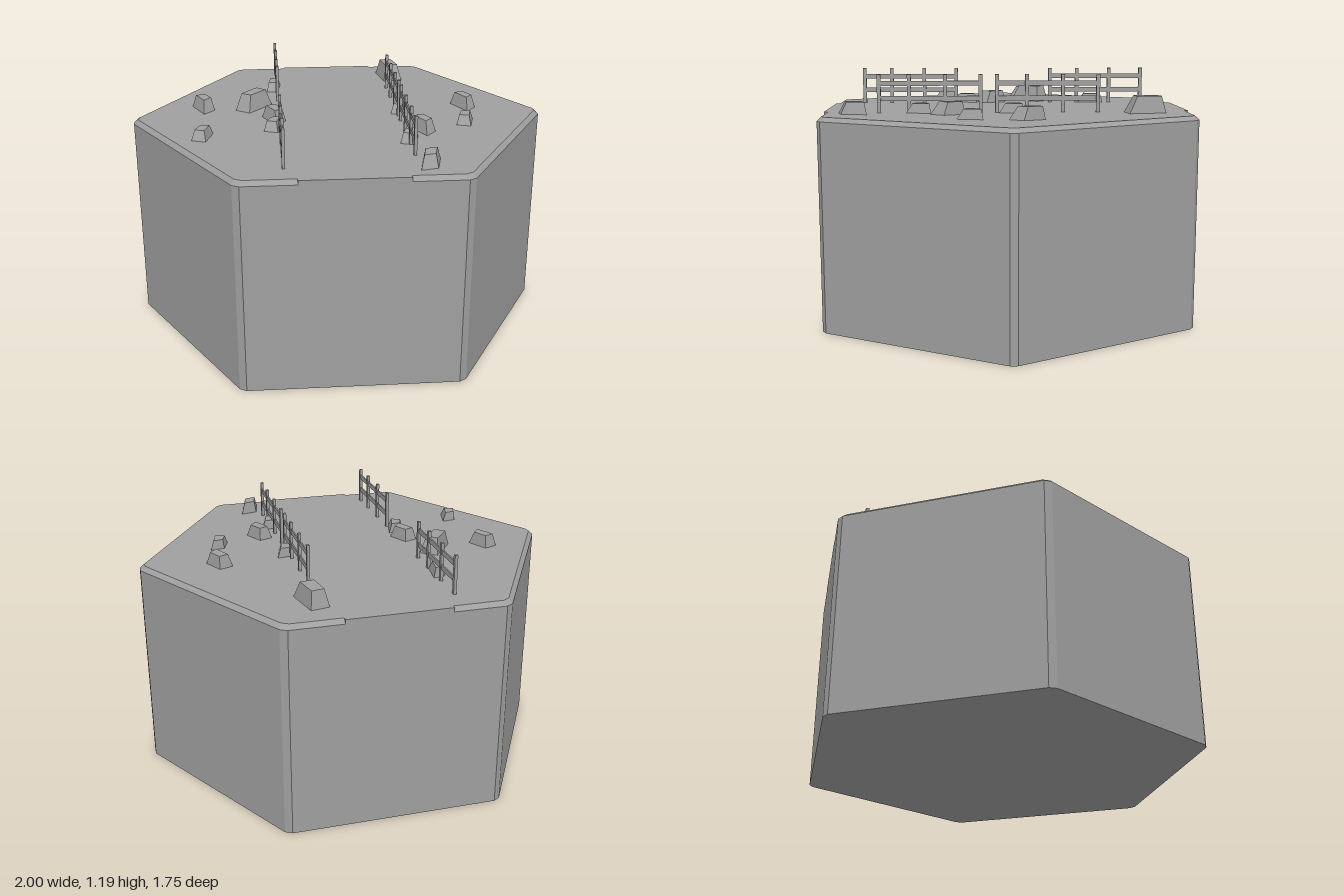
import * as THREE from 'three';

const TOP = 1.01;
const material = new THREE.MeshStandardMaterial({ color: 0x9f9f9f, flatShading: true });

// Closed solid through rings of [x, y, z] points, each clockwise seen from above
function loft(rings, name) {
  const n = rings[0].length;
  const pos = [];
  const tri = (a, b, c) => pos.push(...a, ...b, ...c);
  for (let r = 0; r < rings.length - 1; r++) {
    const lo = rings[r], up = rings[r + 1];
    for (let i = 0; i < n; i++) {
      const j = (i + 1) % n;
      tri(lo[i], up[j], lo[j]);
      tri(lo[i], up[i], up[j]);
    }
  }
  const first = rings[0], last = rings[rings.length - 1];
  for (let i = 1; i < n - 1; i++) {
    tri(first[0], first[i], first[i + 1]);
    tri(last[0], last[i + 1], last[i]);
  }
  const geo = new THREE.BufferGeometry();
  geo.setAttribute('position', new THREE.Float32BufferAttribute(pos, 3));
  geo.computeVertexNormals();
  const mesh = new THREE.Mesh(geo, material);
  mesh.name = name;
  return mesh;
}

function box(w, h, d, x, y, z, name) {
  const mesh = new THREE.Mesh(new THREE.BoxGeometry(w, h, d), material);
  mesh.position.set(x, y, z);
  mesh.name = name;
  return mesh;
}

// Hexagon with its corners cut off
function hexRing(apothem, y) {
  const R = apothem / Math.cos(Math.PI / 6), cut = 0.021, pts = [];
  for (let k = 0; k < 6; k++) {
    const a = k * Math.PI / 3;
    for (const s of [-1, 1]) {
      const edge = a + s * Math.PI * 2 / 3;
      pts.push([R * Math.cos(a) + cut * Math.cos(edge), y, R * Math.sin(a) + cut * Math.sin(edge)]);
    }
  }
  return pts;
}

// Four posts and two rails running along z
function fence(x, z) {
  const g = new THREE.Group();
  g.name = 'fence';
  for (const dz of [0, 0.167, 0.338, 0.48]) {
    g.add(box(0.014, 0.19, 0.018, 0, TOP + 0.085, dz, 'fencePost'));
  }
  for (const h of [0.067, 0.138]) {
    g.add(box(0.007, 0.023, 0.48, 0, TOP + h, 0.24, 'fenceRail'));
  }
  g.position.set(x, 0, z);
  return g;
}

// Tapered stone on a four-cornered outline [x, z]
function rock(outline, x, z, height) {
  const cx = outline.reduce((s, p) => s + p[0], 0) / 4;
  const cz = outline.reduce((s, p) => s + p[1], 0) / 4;
  const base = outline.map(p => [p[0], TOP - 0.01, p[1]]);
  const top = outline.map(p => [cx + (p[0] - cx) * 0.64, TOP + height, cz + (p[1] - cz) * 0.64 - 0.012]);
  const mesh = loft([base, top], 'rock');
  mesh.position.set(x, 0, z);
  return mesh;
}

export function createModel() {
  const model = new THREE.Group();

  // Hexagonal block with a bevelled rim
  model.add(loft([hexRing(0.875, 0), hexRing(0.875, 0.99), hexRing(0.855, TOP)], 'hexBlock'));

  // Unbevelled road ends at front and back
  for (const s of [-1, 1]) {
    model.add(box(0.48, 0.02, 0.02, 0, TOP - 0.01, s * 0.865, 'roadEnd'));
  }

  // Fences on both sides of the road
  for (const [x, z] of [[-0.295, -0.727], [-0.295, 0.25], [0.29, -0.43], [0.29, 0.128]]) {
    model.add(fence(x, z));
  }

  // Small rocks in two repeated shapes, the slanted ones lower
  const pointed = [[-0.063, -0.048], [0.005, -0.077], [0.056, 0.027], [0.003, 0.094]];
  const slanted = [[-0.02, -0.054], [0.053, -0.066], [0.02, 0.06], [-0.05, 0.035]];
  for (const [x, z] of [[0.64, -0.08], [-0.665, -0.134], [-0.317, 0.064], [0.38, 0.275]]) {
    model.add(rock(pointed, x, z, 0.06));
  }
  for (const [x, z] of [[0.596, 0.185], [-0.658, 0.313], [-0.325, 0.207], [0.292, 0.426], [0.304, -0.012]]) {
    model.add(rock(slanted, x, z, 0.045));
  }

  // Single rocks
  model.add(rock([[-0.025, -0.054], [0.038, -0.07], [0.017, 0.066], [-0.04, 0.06]], -0.31, -0.457, 0.045));
  model.add(rock([[-0.028, -0.052], [0.058, -0.074], [0.027, 0.057], [-0.055, 0.077]], 0.34, 0.728, 0.057));
  model.add(rock([[-0.055, -0.08], [0.036, -0.1], [0.073, 0.085], [-0.028, 0.1]], 0.32, -0.649, 0.08));
  model.add(rock([[0.024, -0.103], [0.095, -0.043], [-0.022, 0.1], [-0.092, 0.048]], -0.418, -0.142, 0.08));

  return model;
}
